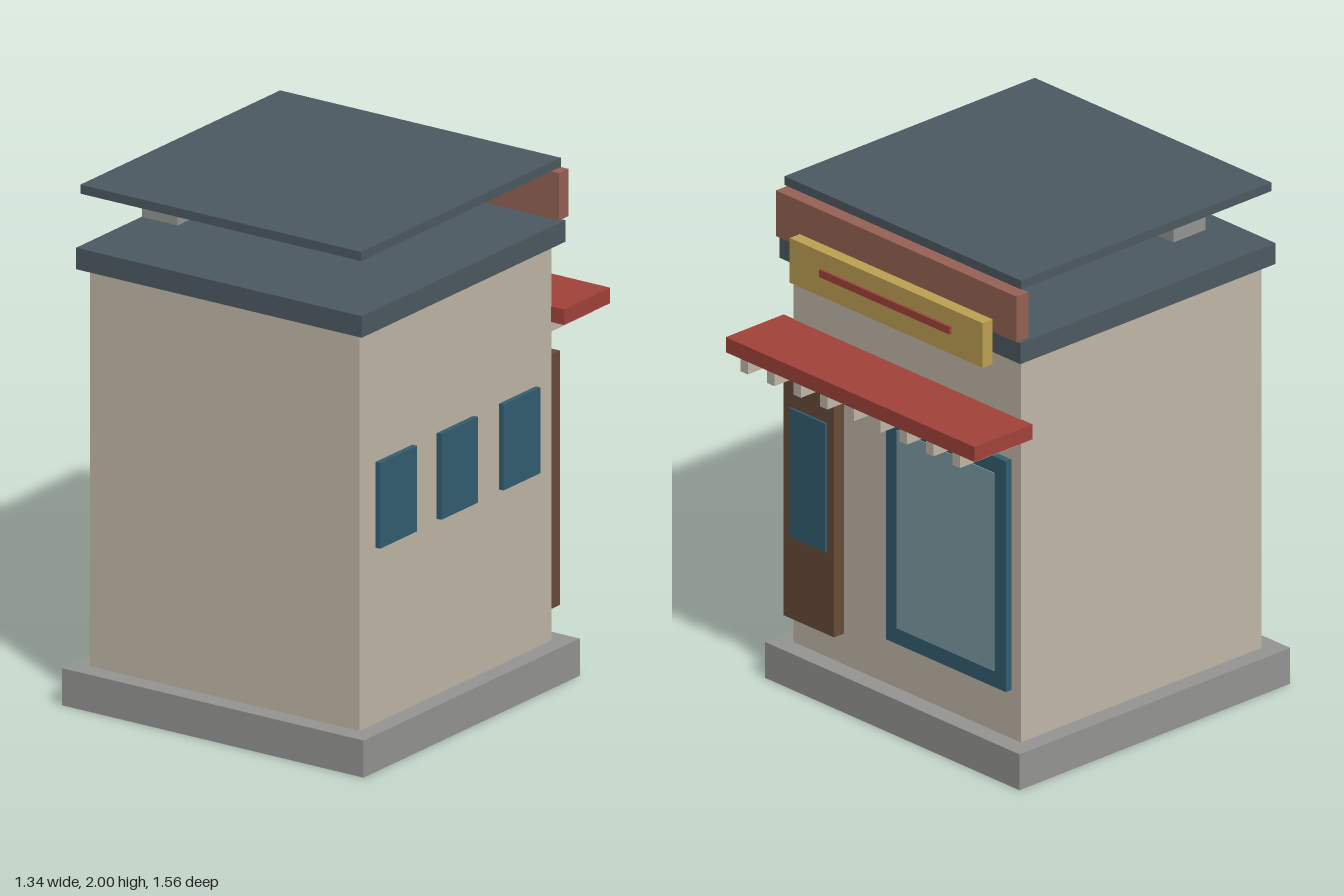
import * as THREE from 'three';

const mat = (name, color) => {
  const m = new THREE.MeshStandardMaterial({ color });
  m.name = name;
  return m;
};

export function createModel() {
  const shop = new THREE.Group();
  shop.name = 'shop';

  const plaster = mat('plaster', 0xc2b9a9);
  const concrete = mat('concrete', 0x969694);
  const slate = mat('slate', 0x4d5a63);
  const brick = mat('brick', 0x966354);
  const red = mat('red', 0xa3433a);
  const gold = mat('gold', 0xbfa253);
  const wood = mat('wood', 0x6a4c3a);
  const blue = mat('blue', 0x335f72);
  const glass = mat('glass', 0x7d9da4);

  // Box given by its limits along each axis
  const box = (name, material, [x0, x1], [y0, y1], [z0, z1], parent = shop) => {
    const mesh = new THREE.Mesh(new THREE.BoxGeometry(x1 - x0, y1 - y0, z1 - z0), material);
    mesh.position.set((x0 + x1) / 2, (y0 + y1) / 2, (z0 + z1) / 2);
    mesh.name = name;
    parent.add(mesh);
    return mesh;
  };
  const group = (name) => {
    const g = new THREE.Group();
    g.name = name;
    shop.add(g);
    return g;
  };

  // Plinth, walls and roof
  box('plinth', concrete, [-0.672, 0.672], [0, 0.143], [-0.57, 0.78]);
  box('walls', plaster, [-0.6, 0.6], [0.143, 1.675], [-0.495, 0.705]);
  box('roofSlab', slate, [-0.636, 0.636], [1.675, 1.758], [-0.531, 0.741]);
  box('upperRoof', slate, [-0.625, 0.625], [1.965, 2], [-0.517, 0.73]);
  box('roofVent', concrete, [-0.505, -0.345], [1.838, 1.965], [0.355, 0.515]);

  // Parapet and sign above the shop front
  box('parapet', brick, [-0.636, 0.636], [1.768, 1.95], [-0.55, -0.491]);
  const sign = group('sign');
  box('signBoard', gold, [-0.51, 0.51], [1.64, 1.818], [-0.6, -0.55], sign);
  box('signStripe', red, [-0.345, 0.345], [1.72, 1.75], [-0.609, -0.6], sign);

  // Awning on nine evenly spaced slats
  const awning = group('awning');
  box('awningBoard', red, [-0.657, 0.657], [1.37, 1.43], [-0.78, -0.491], awning);
  for (let i = -4; i <= 4; i++) {
    const x = i * 0.14;
    box('awningSlat', plaster, [x - 0.02, x + 0.02], [1.32, 1.37], [-0.78, -0.495], awning);
  }

  // Door with its pane
  const door = group('door');
  box('doorLeaf', wood, [0.335, 0.601], [0.265, 1.245], [-0.544, -0.495], door);
  box('doorPane', blue, [0.372, 0.562], [0.595, 1.108], [-0.553, -0.544], door);

  // Display window
  const display = group('displayWindow');
  box('displayFrame', blue, [-0.55, 0.085], [0.335, 1.255], [-0.522, -0.495], display);
  box('displayPane', glass, [-0.49, 0.025], [0.4, 1.19], [-0.526, -0.522], display);

  // Three side windows
  for (const z of [-0.28, 0.108, 0.49]) {
    box('sideWindow', blue, [0.6, 0.621], [0.82, 1.15], [z - 0.115, z + 0.115]);
  }

  return shop;
}
